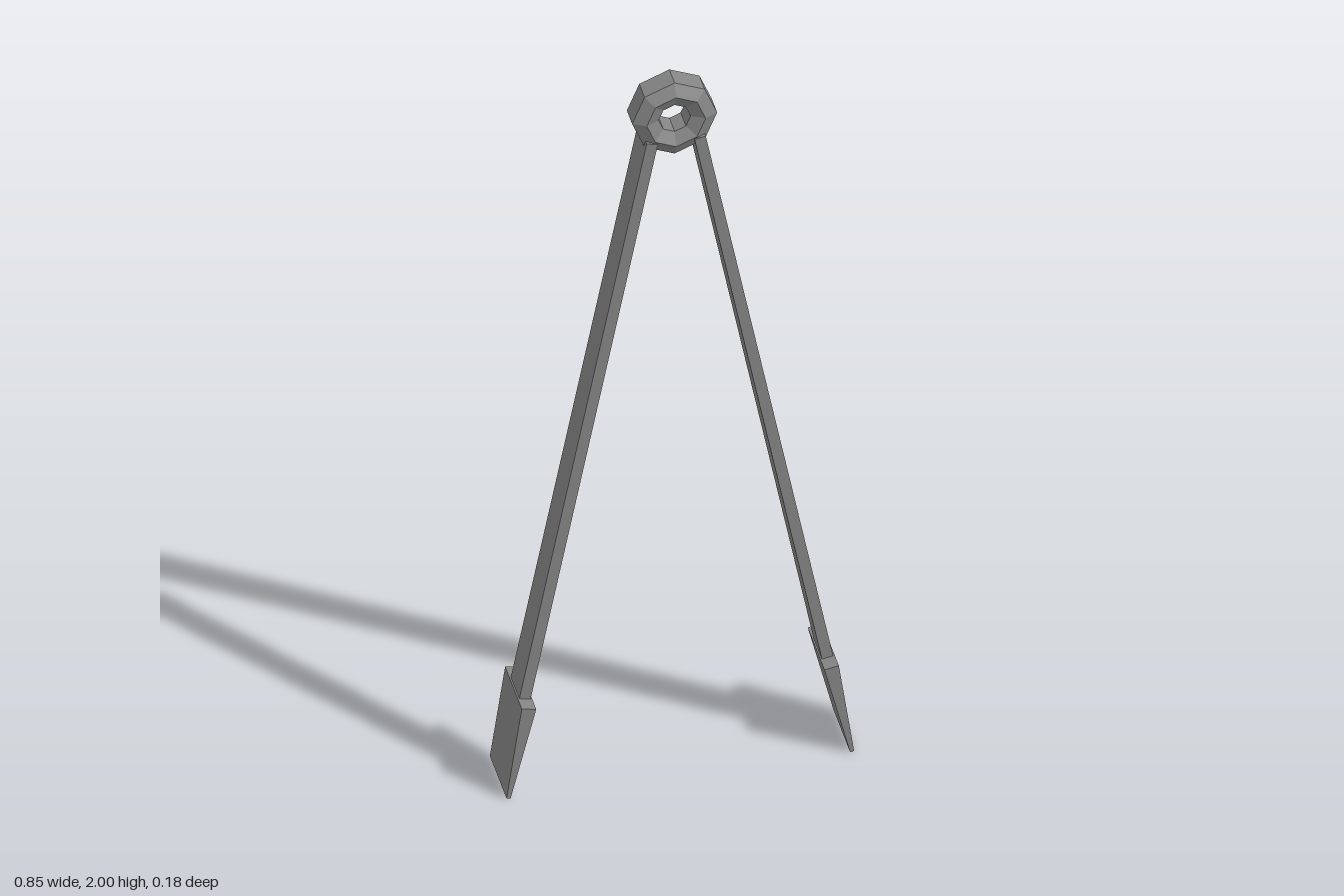
import * as THREE from 'three';

const material = new THREE.MeshStandardMaterial({ color: 0x858585, flatShading: true });

function part(name, geometry) {
  const mesh = new THREE.Mesh(geometry, material);
  mesh.name = name;
  return mesh;
}

// One leaning arm, built upright from its tip, with a wedge-shaped paddle
function makeArm(name) {
  const arm = new THREE.Group();
  arm.name = name;

  const start = 0.24, end = 1.875;
  const bar = part('bar', new THREE.BoxGeometry(0.028, end - start, 0.09));
  bar.position.y = (start + end) / 2;

  // Paddle thins towards the tip
  const wedge = new THREE.Shape([
    new THREE.Vector2(-0.005, 0),
    new THREE.Vector2(0.005, 0),
    new THREE.Vector2(0.018, 0.26),
    new THREE.Vector2(-0.018, 0.26),
  ]);
  const paddleGeometry = new THREE.ExtrudeGeometry(wedge, { depth: 0.176, bevelEnabled: false });
  paddleGeometry.translate(0, 0, -0.088);
  arm.add(bar, part('paddle', paddleGeometry));
  return arm;
}

export function createModel() {
  const model = new THREE.Group();
  model.name = 'tongs';

  // Eight-sided hinge ring with a six-sided section: flat outer and inner bands
  const section = [
    [0.072, -0.045], [0.104, -0.028], [0.104, 0.028],
    [0.072, 0.045], [0.039, 0.028], [0.039, -0.028], [0.072, -0.045],
  ].map(([radius, depth]) => new THREE.Vector2(radius, depth));
  const ring = part('hingeRing', new THREE.LatheGeometry(section, 8));
  ring.rotation.x = Math.PI / 2;
  ring.position.y = 1.896;
  model.add(ring);

  // Mirrored arms spreading from the ring
  for (const side of [1, -1]) {
    const arm = makeArm(side > 0 ? 'leftArm' : 'rightArm');
    arm.position.set(side * 0.42, 0.001, 0);
    arm.rotation.z = side * 0.194;
    model.add(arm);
  }
  return model;
}
